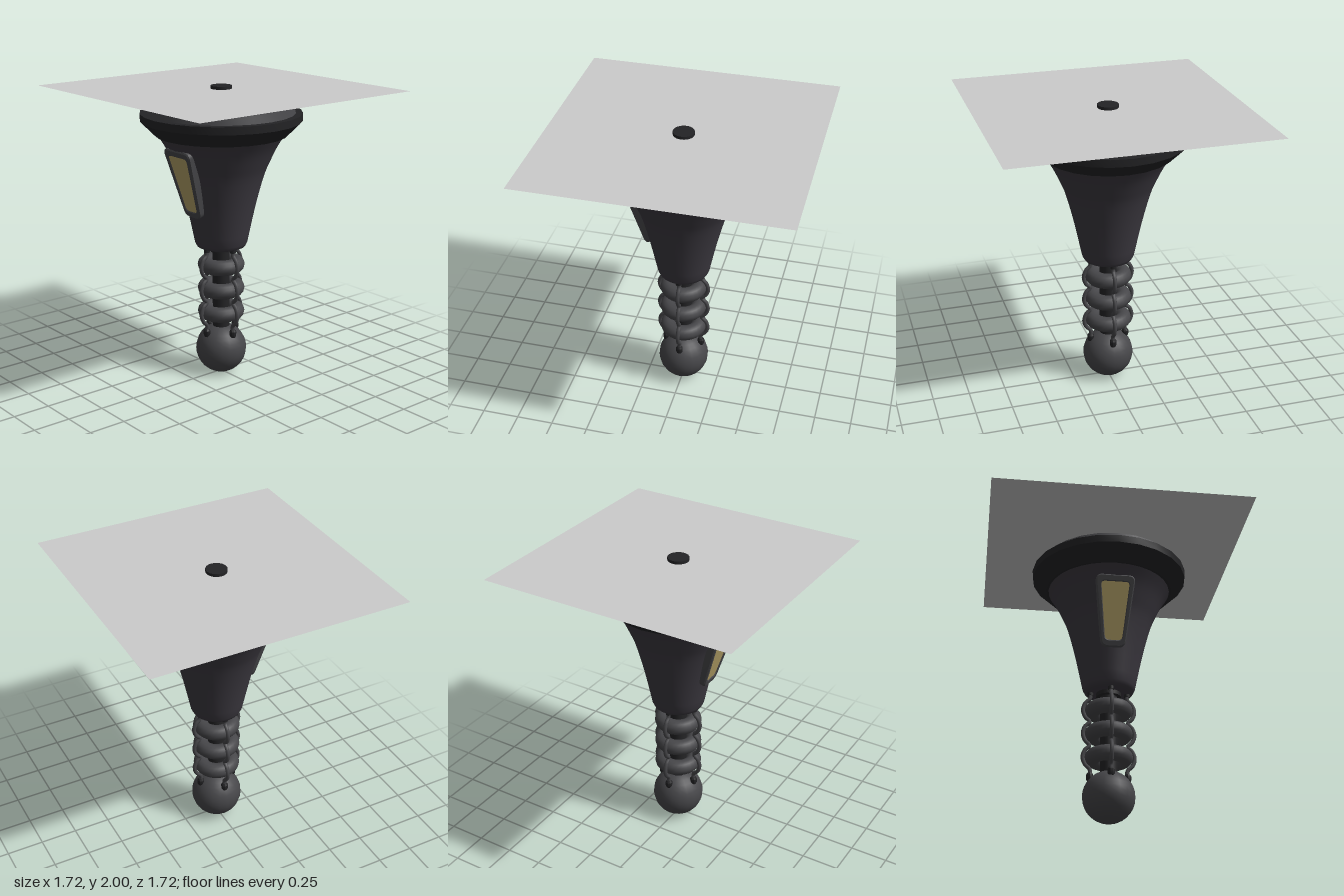
import * as THREE from 'three';
import { toCreasedNormals } from 'three/addons/utils/BufferGeometryUtils.js';

const paint = (color) => new THREE.MeshStandardMaterial({ color });
const shellMat = paint(0x3c3940);
const darkMat = paint(0x242426);
const metalMat = paint(0x47474a);
const glassMat = paint(0xb5a268);
const plateMat = new THREE.MeshStandardMaterial({ color: 0xcccccc, side: THREE.DoubleSide });

const v2 = (p) => new THREE.Vector2(p[0], p[1]);

// Profile points run from bottom to top as [radius, height]
function lathe(points, sides, crease = 0.5) {
  return toCreasedNormals(new THREE.LatheGeometry(points.map(v2), sides), crease);
}

// Trapezoid with rounded corners, centred on the origin
function roundedTrapezoid(path, top, bottom, half, r) {
  const corners = [[-bottom, -half], [bottom, -half], [top, half], [-top, half]].map(v2);
  corners.forEach((c, i) => {
    const before = corners[(i + 3) % 4], after = corners[(i + 1) % 4];
    const a = c.clone().add(before.clone().sub(c).setLength(r));
    const b = c.clone().add(after.clone().sub(c).setLength(r));
    if (i === 0) path.moveTo(a.x, a.y); else path.lineTo(a.x, a.y);
    path.quadraticCurveTo(c.x, c.y, b.x, b.y);
  });
  path.closePath();
  return path;
}

export function createModel() {
  const model = new THREE.Group();
  model.name = 'ceilingPod';
  const add = (name, geometry, material, parent = model) => {
    const mesh = new THREE.Mesh(geometry, material);
    mesh.name = name;
    parent.add(mesh);
    return mesh;
  };

  // Ceiling plate and mounting stem
  add('ceilingPlate', new THREE.PlaneGeometry(1.724, 1.724).rotateX(-Math.PI / 2), plateMat).position.y = 1.98;
  add('mountStem', lathe([[0, 1.87], [0.077, 1.87], [0.077, 1.905], [0.05, 1.905], [0.05, 1.96],
    [0.062, 1.96], [0.07, 1.97], [0.07, 2], [0, 2]], 24), darkMat);

  // Top disc, flange and flared shell
  add('topDisc', lathe([[0, 1.81], [0.495, 1.81], [0.475, 1.88], [0, 1.88]], 24), metalMat);
  add('flange', lathe([[0, 1.68], [0.44, 1.68], [0.535, 1.775], [0.537, 1.826], [0, 1.826]], 24), darkMat);
  const flare = new THREE.SplineCurve([[0.177, 0.94], [0.232, 1.2], [0.285, 1.4], [0.325, 1.5],
    [0.372, 1.6], [0.425, 1.685]].map(v2)).getPoints(16).map((p) => [p.x, p.y]);
  add('flaredShell', lathe([[0, 0.905], [0.14, 0.905], [0.165, 0.916], ...flare], 32, 0.8), shellMat);

  // Framed window leaning with the front of the shell
  const windowGroup = new THREE.Group();
  windowGroup.name = 'window';
  windowGroup.position.set(0, 1.377, 0.313);
  windowGroup.rotation.x = 0.295;
  model.add(windowGroup);
  const frameShape = roundedTrapezoid(new THREE.Shape(), 0.128, 0.073, 0.238, 0.04);
  frameShape.holes.push(roundedTrapezoid(new THREE.Path(), 0.103, 0.062, 0.205, 0.035));
  const frame = new THREE.ExtrudeGeometry(frameShape, {
    depth: 0.06, bevelThickness: 0.008, bevelSize: 0.008, bevelSegments: 1, curveSegments: 6,
  });
  add('windowFrame', toCreasedNormals(frame, 0.5), metalMat, windowGroup).position.z = -0.068;
  const pane = new THREE.ExtrudeGeometry(roundedTrapezoid(new THREE.Shape(), 0.104, 0.063, 0.206, 0.035),
    { depth: 0.04, bevelEnabled: false, curveSegments: 6 });
  add('windowPane', pane, glassMat, windowGroup).position.z = -0.046;

  // Neck: core column, collar and three rings
  const column = add('neckColumn', new THREE.CylinderGeometry(0.058, 0.058, 0.62, 20), darkMat);
  column.position.y = 0.61;
  add('neckCollar', new THREE.CylinderGeometry(0.085, 0.085, 0.03, 20), darkMat).position.y = 0.893;
  const ringHeights = [0.445, 0.613, 0.78];
  for (const y of ringHeights) {
    add('neckRing', new THREE.TorusGeometry(0.107, 0.053, 14, 28).rotateX(Math.PI / 2), metalMat).position.y = y;
  }

  // Four cables that bulge out around the rings
  const path = [[0.125, 0.3], [0.125, 0.36]];
  for (const y of ringHeights) path.push([0.157, y - 0.05], [0.172, y], [0.157, y + 0.05], [0.127, y + 0.083]);
  path.push([0.123, 0.915]);
  const cablePath = new THREE.CatmullRomCurve3(path.map(([r, y]) => new THREE.Vector3(r, y, 0)));
  const cableGeo = new THREE.TubeGeometry(cablePath, 56, 0.014, 8);
  for (let i = 0; i < 4; i++) {
    const cable = new THREE.Group();
    cable.name = 'cable';
    cable.rotation.y = i * Math.PI / 2;
    model.add(cable);
    add('cableTube', cableGeo, metalMat, cable);
    add('lowerPlug', lathe([[0, 0.275], [0.018, 0.28], [0.024, 0.295], [0.024, 0.322], [0.016, 0.335], [0, 0.335]], 10),
      darkMat, cable).position.x = 0.125;
    add('upperPlug', new THREE.CylinderGeometry(0.02, 0.02, 0.03, 10), darkMat, cable).position.set(0.124, 0.9, 0);
  }

  // Ball tip
  add('ballTip', new THREE.SphereGeometry(0.174, 20, 16), metalMat).position.y = 0.174;

  return model;
}
